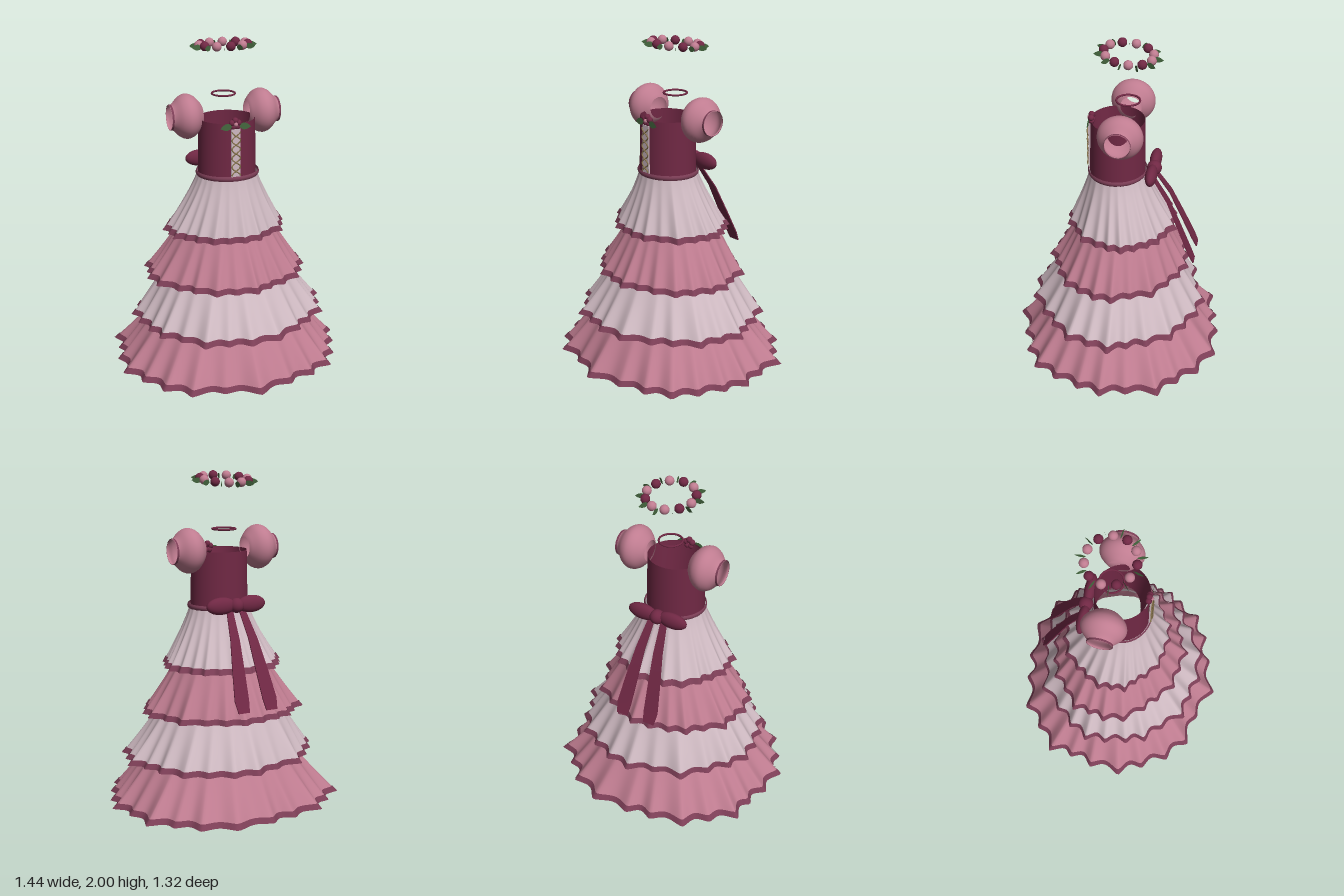
import * as THREE from 'three';
import { mergeVertices } from 'three/addons/utils/BufferGeometryUtils.js';

const mat = (name, color, open = true) => {
  const m = new THREE.MeshStandardMaterial({ color });
  m.name = name;
  if (open) m.side = THREE.DoubleSide;
  return m;
};

// Peak angle (degrees) and radius of every pleat round the hem
const PLEATS = [
  [0, 0.72], [13, 0.69], [28, 0.68], [42, 0.69], [56, 0.65], [71, 0.62], [90, 0.655], [108, 0.61],
  [124, 0.68], [139, 0.69], [154, 0.69], [168, 0.725], [185, 0.70], [198, 0.69], [210, 0.74], [224, 0.69],
  [238, 0.70], [255, 0.65], [268, 0.65], [287, 0.69], [304, 0.70], [317, 0.69], [330, 0.74], [346, 0.69], [360, 0.72],
];

// Pleat outline as a factor of a smooth oval
function pleat(angle) {
  const deg = ((THREE.MathUtils.radToDeg(angle) % 360) + 360) % 360;
  let i = 0;
  while (PLEATS[i + 1][0] <= deg) i++;
  const [a0, r0] = PLEATS[i], [a1, r1] = PLEATS[i + 1];
  const u = (deg - a0) / (a1 - a0);
  const r = THREE.MathUtils.lerp(r0, r1, u) - 0.05 * Math.pow(Math.sin(Math.PI * u), 1.3);
  const c = Math.cos(angle) / 0.72, s = Math.sin(angle) / 0.67;
  return r * Math.sqrt(c * c + s * s);
}

// Closed surface round the y axis; point(angle, t) runs t = 0 (top) to 1 (bottom)
function around(point, nu, nv) {
  const g = new THREE.PlaneGeometry(1, 1, nu, nv);
  const p = g.attributes.position;
  for (let i = 0; i < p.count; i++) {
    const a = i % (nu + 1) === nu ? 0 : -(p.getX(i) + 0.5) * Math.PI * 2;
    p.setXYZ(i, ...point(a, 0.5 - p.getY(i)));
  }
  g.deleteAttribute('uv');
  g.deleteAttribute('normal');
  const merged = mergeVertices(g, 1e-5);
  merged.computeVertexNormals();
  return merged;
}

// Small pointed leaf lying in the xy plane, from the origin along +x
function leafGeometry(length, width) {
  const s = new THREE.Shape();
  s.moveTo(0, 0);
  s.quadraticCurveTo(length * 0.4, width, length, 0);
  s.quadraticCurveTo(length * 0.4, -width, 0, 0);
  return new THREE.ShapeGeometry(s, 6);
}

export function createModel() {
  const model = new THREE.Group();
  model.name = 'tieredDress';
  const burgundy = mat('burgundy', 0x702844);
  const pink = mat('dusty pink', 0xbf7c90);
  const pale = mat('pale pink', 0xcfbac2);
  const trim = mat('mauve trim', 0x7c3e56);
  const green = mat('leaf green', 0x45673f);
  const gold = mat('lace gold', 0x8c7850, false);

  const add = (name, geometry, material, x = 0, y = 0, z = 0, parent = model) => {
    const m = new THREE.Mesh(geometry, material);
    m.name = name;
    m.position.set(x, y, z);
    parent.add(m);
    return m;
  };

  // Skirt tiers: y, x radius, z radius, z centre at top and hem
  const tiers = [
    { top: [1.19, 0.185, 0.172, 0.005], hem: [0.83, 0.385, 0.335, -0.02], p: 1.2, turn: 0.9, m: pale },
    { top: [0.88, 0.275, 0.25, -0.02], hem: [0.545, 0.5, 0.435, -0.02], p: 1.1, turn: 2.2, m: pink },
    { top: [0.6, 0.37, 0.34, -0.02], hem: [0.268, 0.605, 0.55, -0.015], p: 1.1, turn: 3.7, m: pale },
    { top: [0.33, 0.445, 0.41, -0.01], hem: [0, 0.72, 0.67, 0], p: 1.1, turn: 0, m: pink },
  ];
  tiers.forEach(({ top, hem, p, turn, m }, i) => {
    const point = (out) => (a, t) => {
      const k = Math.pow(t, p);
      const [y, rx, rz, zc] = top.map((v, j) => THREE.MathUtils.lerp(v, hem[j], j ? k : t));
      const f = 1 + (pleat(a + turn) - 1) * (0.1 + 0.9 * t);
      return [Math.cos(a) * (rx * f + out), y, Math.sin(a) * (rz * f + out) + zc];
    };
    add('skirtTier' + (i + 1), around(point(0), 288, 10), m);
    const band = point(0.006);
    add('hemTrim' + (i + 1), around((a, t) => band(a, 0.905 + 0.095 * t), 288, 2), trim);
  });

  // Bodice, its sloping front lining and the waistband
  const bodice = new THREE.CylinderGeometry(0.17, 0.177, 0.34, 48, 1, true);
  add('bodice', bodice, burgundy, -0.003, 1.36, 0.008).scale.z = 0.95;
  const lining = new THREE.CylinderGeometry(0.166, 0.166, 0.33, 32, 1, true, -Math.PI / 2, Math.PI);
  const lp = lining.attributes.position;
  for (let i = 0; i < lp.count; i++) lp.setZ(i, lp.getZ(i) * (lp.getY(i) > 0 ? 0.94 : 0.64));
  lining.computeVertexNormals();
  add('bodiceLining', lining, burgundy, -0.003, 1.36, 0.008);
  add('waistband', around((a, t) => {
    const r = 0.188 + 0.006 * Math.sin(Math.PI * t);
    return [Math.cos(a) * r, 1.208 - 0.03 * t, Math.sin(a) * r * 0.93 + 0.008];
  }, 64, 4), trim);

  // Front panel with crossed laces
  add('lacePanel', new THREE.BoxGeometry(0.056, 0.3, 0.008), pale, -0.004, 1.35, 0.178);
  for (const side of [-1, 1]) {
    const pts = [];
    for (let i = 0; i <= 40; i++) {
      const a = (i / 40) * Math.PI * 5;
      pts.push(new THREE.Vector3(side * 0.026 * Math.cos(a) - 0.004, 1.215 + 0.27 * (i / 40), 0.187 + side * 0.004 * Math.sin(a)));
    }
    add('lace', new THREE.TubeGeometry(new THREE.CatmullRomCurve3(pts), 80, 0.004, 6), gold);
  }

  // Neckline flower with two leaves
  const flower = new THREE.Group();
  flower.name = 'necklineFlower';
  flower.position.set(-0.004, 1.527, 0.165);
  model.add(flower);
  for (let i = 0; i < 5; i++) {
    const a = Math.PI / 2 + (i * Math.PI * 2) / 5;
    add('petal', new THREE.SphereGeometry(0.019, 12, 8), burgundy, 0.021 * Math.cos(a), 0.021 * Math.sin(a), 0, flower);
  }
  add('flowerCentre', new THREE.SphereGeometry(0.013, 12, 8), pink, 0, 0, 0.014, flower);
  for (const side of [-1, 1]) {
    const leaf = add('flowerLeaf', leafGeometry(0.075, 0.042), green, side * 0.02, -0.008, 0.012, flower);
    leaf.rotation.set(0, side > 0 ? 0 : Math.PI, -0.15);
  }

  // Puff sleeves, open at both ends, with a cuff band
  const puff = new THREE.SplineCurve([[0.065, 0.145], [0.085, 0.158], [0.122, 0.195], [0.135, 0.238], [0.12, 0.278],
    [0.087, 0.312], [0.075, 0.328], [0.074, 0.34]].map(([r, x]) => new THREE.Vector2(r, x))).getPoints(28);
  for (const side of [-1, 1]) {
    const sleeve = new THREE.Group();
    sleeve.name = side > 0 ? 'leftSleeve' : 'rightSleeve';
    sleeve.position.set(-0.004, 1.54, -0.046);
    sleeve.rotation.z = -side * Math.PI / 2;
    model.add(sleeve);
    add('puff', new THREE.LatheGeometry(puff, 40), pink, 0, 0, 0, sleeve);
    add('cuff', new THREE.CylinderGeometry(0.077, 0.077, 0.012, 40, 1, true), trim, 0, 0.334, 0, sleeve);
  }

  // Choker ring
  add('choker', new THREE.TorusGeometry(0.07, 0.006, 8, 48), burgundy, -0.004, 1.66, -0.053).rotation.x = Math.PI / 2;

  // Flower crown: beads and upright radial leaves on a tilted ring
  const crown = new THREE.Group();
  crown.name = 'flowerCrown';
  crown.position.set(-0.005, 1.957, -0.055);
  crown.rotation.x = -0.1;
  model.add(crown);
  const dark = [2, 4, 6, 9, 0];
  for (let i = 0; i < 11; i++) {
    const a = (i / 11) * Math.PI * 2 + Math.PI / 2;
    const isDark = dark.includes((i + 2) % 11);
    add('bead', new THREE.SphereGeometry(0.028, 16, 12), isDark ? burgundy : pink, 0.145 * Math.cos(a), 0, 0.145 * Math.sin(a), crown);
    const b = a + Math.PI / 11;
    const leaf = add('crownLeaf', leafGeometry(0.065, 0.034), green, 0.138 * Math.cos(b), -0.008, 0.138 * Math.sin(b), crown);
    leaf.rotation.y = -b;
  }

  // Back bow with two loops, a knot and trailing ribbons
  add('bowKnot', new THREE.SphereGeometry(0.045, 20, 14), burgundy, -0.004, 1.22, -0.215);
  const stations = [[1.2, -0.2, 0.04, 0.02], [1.03, -0.31, 0.06, 0.03], [0.85, -0.39, 0.078, 0.04],
    [0.7, -0.455, 0.092, 0.046], [0.635, -0.484, 0.092, 0.036]];
  for (const side of [-1, 1]) {
    const loop = add('bowLoop', new THREE.SphereGeometry(1, 24, 16), burgundy, side * 0.1 - 0.004, 1.222, -0.21);
    loop.scale.set(0.096, 0.052, 0.036);
    const ribbon = new THREE.BoxGeometry(2, 1, 1, 1, stations.length - 1, 1);
    const p = ribbon.attributes.position;
    for (let i = 0; i < p.count; i++) {
      const [y, z, x, w] = stations[Math.round((0.5 - p.getY(i)) * (stations.length - 1))];
      p.setXYZ(i, side * x - 0.004 + p.getX(i) * w, y, z + p.getZ(i) * 0.008);
    }
    ribbon.computeVertexNormals();
    add('bowRibbon', ribbon, burgundy);
  }
  return model;
}
